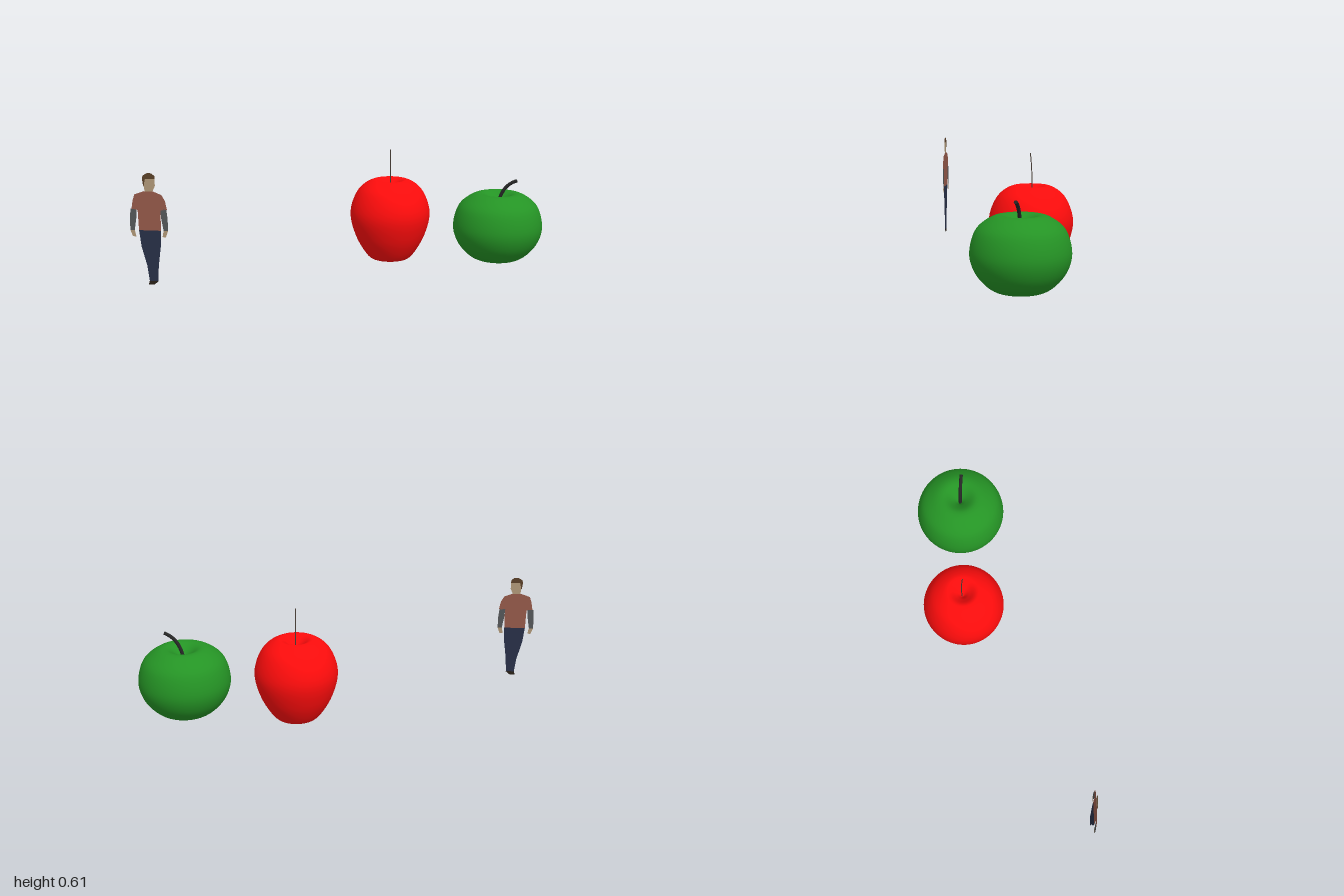
import * as THREE from 'three';

const mat = (color, side = THREE.FrontSide) => new THREE.MeshStandardMaterial({ color, side });

// Fruit body: a smooth profile (radius, height), bottom dimple to top dimple, turned round y
function fruit(name, color, x, z, profile) {
  const curve = new THREE.SplineCurve(profile.map(([r, y]) => new THREE.Vector2(r, y)));
  const mesh = new THREE.Mesh(new THREE.LatheGeometry(curve.getPoints(72), 64), mat(color));
  mesh.name = name;
  mesh.position.set(x, 0, z);
  return mesh;
}

// Stem: a tube along a bent curve, closed at its free end
function stem(name, color, radius, base, bend, tip) {
  const curve = new THREE.QuadraticBezierCurve3(
    new THREE.Vector3(...base), new THREE.Vector3(...bend), new THREE.Vector3(...tip));
  const group = new THREE.Group();
  group.name = name;
  const cap = new THREE.Mesh(new THREE.CircleGeometry(radius, 12), mat(color));
  cap.position.copy(curve.getPoint(1));
  cap.lookAt(curve.getPoint(1).add(curve.getTangent(1)));
  group.add(new THREE.Mesh(new THREE.TubeGeometry(curve, 24, radius, 12), mat(color)), cap);
  return group;
}

// Flat panel from cross-sections (height, left edge, right edge), bottom to top
function panel(name, color, rows, mirror = 1) {
  const shape = new THREE.Shape([
    ...rows.map(([y, , right]) => new THREE.Vector2(right * mirror, y)),
    ...rows.map(([y, left]) => new THREE.Vector2(left * mirror, y)).reverse(),
  ]);
  const mesh = new THREE.Mesh(new THREE.ShapeGeometry(shape), mat(color, THREE.DoubleSide));
  mesh.name = name;
  return mesh;
}

// Flat standing figure
function person() {
  const skin = 0xb09878;
  const group = new THREE.Group();
  group.name = 'personCutout';
  group.add(
    panel('shoes', 0x2a2118, [[0, -0.013, 0.016], [0.02, -0.007, 0.04]]),
    panel('trousers', 0x283048, [[0.02, -0.007, 0.038], [0.1, -0.017, 0.043], [0.2, -0.043, 0.057], [0.285, -0.053, 0.061]]),
    panel('shirt', 0x965a4a, [[0.285, -0.053, 0.061], [0.39, -0.056, 0.063], [0.395, -0.088, 0.096],
      [0.44, -0.08, 0.087], [0.47, -0.07, 0.07], [0.487, -0.022, 0.027]]),
    panel('face', skin, [[0.487, -0.016, 0.025], [0.515, -0.02, 0.038], [0.55, -0.012, 0.038]]),
    panel('hairSide', 0x5a4028, [[0.515, -0.023, -0.02], [0.55, -0.027, -0.012]]),
    panel('hairTop', 0x5a4028, [[0.55, -0.027, 0.038], [0.567, -0.024, 0.037], [0.58, -0.002, 0.02]]),
  );
  // Arms mirrored either side of the body
  for (const [side, mirror] of [['left', 1], ['right', -1]]) {
    group.add(
      panel(side + 'Forearm', 0x55585a, [[0.285, 0.075, 0.098], [0.345, 0.065, 0.098], [0.395, 0.061, 0.093]], mirror),
      panel(side + 'Hand', skin, [[0.252, 0.068, 0.086], [0.285, 0.075, 0.098]], mirror),
    );
  }
  group.position.set(-0.9, 0, 0.535);
  group.rotation.y = 0.11;
  return group;
}

export function createModel() {
  const model = new THREE.Group();

  // Tall red apple with a thin stem
  model.add(fruit('redApple', 0xff0c0c, 0.18, -0.232, [
    [0, 0.06], [0.04, 0.027], [0.08, 0.008], [0.125, 0.033], [0.187, 0.14],
    [0.215, 0.27], [0.172, 0.39], [0.09, 0.446], [0.035, 0.417], [0, 0.375],
  ]));
  model.add(stem('redAppleStem', 0x4a4038, 0.0025,
    [0.18, 0.375, -0.236], [0.18, 0.5, -0.241], [0.18, 0.612, -0.228]));

  // Broad green apple with a thick bent stem
  model.add(fruit('greenApple', 0x259425, 0.757, -0.309, [
    [0, 0.075], [0.04, 0.041], [0.085, 0.02], [0.15, 0.045], [0.213, 0.115],
    [0.239, 0.205], [0.213, 0.31], [0.15, 0.368], [0.09, 0.384], [0.035, 0.35], [0, 0.31],
  ]));
  model.add(stem('greenAppleStem', 0x262626, 0.009,
    [0.757, 0.31, -0.307], [0.769, 0.43, -0.307], [0.855, 0.458, -0.307]));

  model.add(person());
  return model;
}
